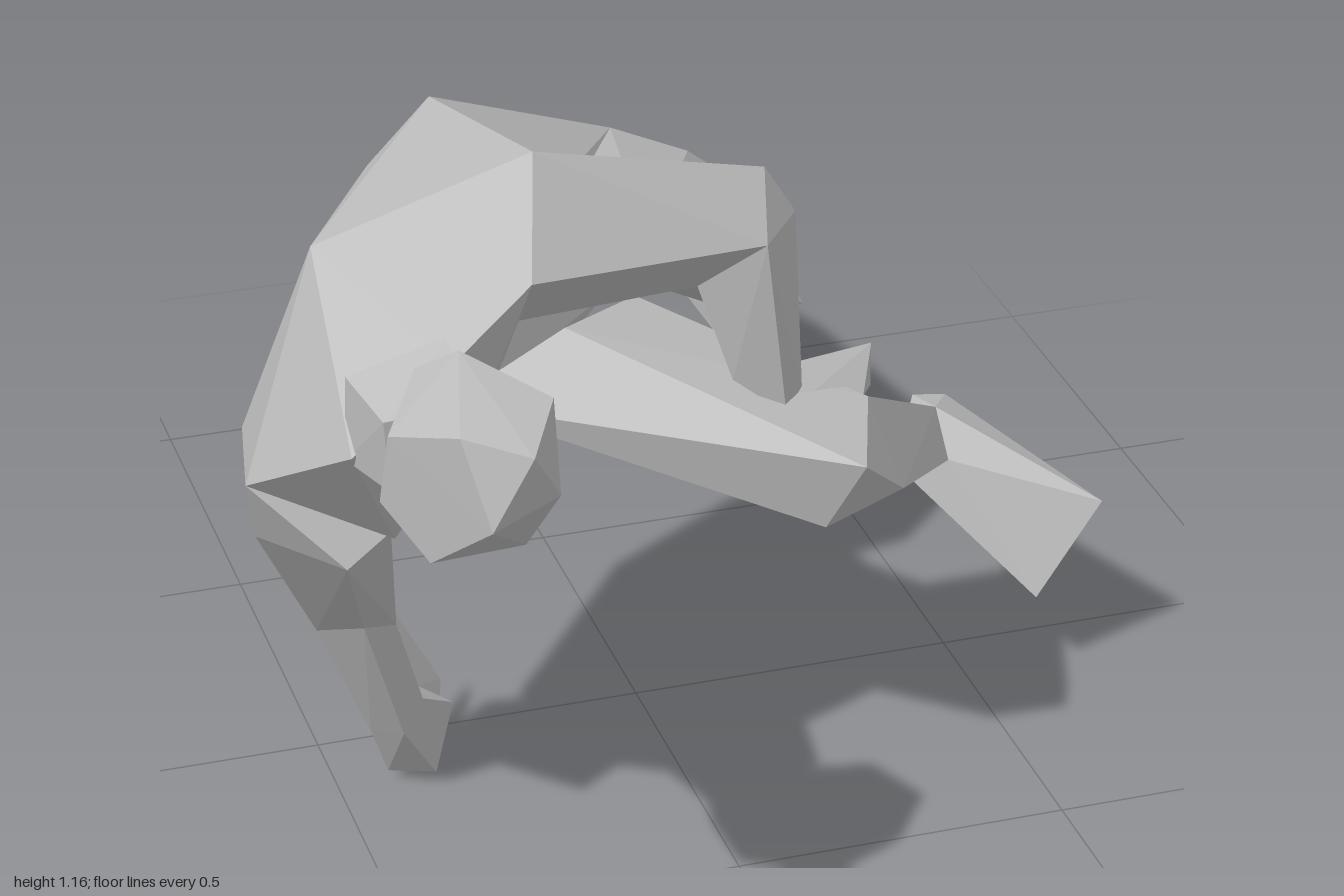
import * as THREE from 'three';
import { ConvexGeometry } from 'three/addons/geometries/ConvexGeometry.js';

// Faceted climbing figure: each body segment is a hull spanned between shared joint rings.
export function createModel() {
  const body = new THREE.Group();
  body.name = 'climbingFigure';
  const grey = new THREE.MeshStandardMaterial({ color: 0xc0c0c0, flatShading: true });
  grey.name = 'plain grey';

  const segment = (name, ...rings) => {
    const points = rings.flat().map((p) => new THREE.Vector3(...p));
    const mesh = new THREE.Mesh(new ConvexGeometry(points), grey);
    mesh.name = name;
    body.add(mesh);
  };

  // Torso rings
  const shoulders = [
    [-0.285, 1.16, 0.45], [-0.6, 1.08, 0.48], [-0.7, 0.735, 0.48], [-0.66, 0.72, 0.29],
    [-0.59, 0.84, 0.635], [-0.45, 0.95, 0.625], [-0.325, 1.03, 0.58], [-0.42, 0.81, 0.58],
    [-0.5, 0.63, 0.5], [-0.35, 0.9, 0.53],
  ];
  const waist = [
    [-0.31, 1.05, 0.01], [-0.4, 0.95, 0], [-0.47, 0.81, 0.01],
    [-0.2, 0.9, 0.13], [-0.33, 0.65, 0.22],
  ];
  const pelvis = [
    [-0.22, 0.595, -0.05], [-0.2, 0.77, -0.16], [-0.05, 0.79, -0.21], [0.01, 0.88, -0.16],
    [-0.1, 0.89, -0.07], [-0.06, 0.72, 0.05], [-0.24, 0.6, 0.14],
  ];
  segment('chest', shoulders, waist);
  segment('pelvis', waist, pelvis);

  // Neck and head
  segment('neck', [
    [-0.59, 0.95, 0.61], [-0.45, 0.98, 0.6], [-0.45, 0.81, 0.57], [-0.59, 0.82, 0.6],
    [-0.57, 0.94, 0.73], [-0.45, 0.95, 0.73], [-0.45, 0.83, 0.72], [-0.56, 0.83, 0.72],
  ]);
  segment('head', [
    [-0.5, 1.095, 0.85], [-0.39, 1.035, 0.9], [-0.39, 0.91, 0.93], [-0.42, 0.81, 0.87],
    [-0.49, 0.737, 0.75], [-0.55, 0.81, 0.88], [-0.595, 0.865, 0.8], [-0.59, 0.975, 0.83],
    [-0.54, 1.04, 0.78], [-0.41, 1.0, 0.78], [-0.53, 1.03, 0.96], [-0.44, 1.0, 0.985],
    [-0.5, 0.91, 1.0], [-0.43, 0.84, 0.71], [-0.55, 0.82, 0.71],
  ]);

  // Left arm, bent with the hand on the knee
  const leftShoulder = [
    [-0.285, 1.16, 0.45], [-0.325, 1.03, 0.58], [-0.26, 1.03, 0.32], [-0.32, 0.92, 0.47],
  ];
  const leftElbow = [
    [0.09, 1.02, 0.31], [0.055, 0.96, 0.43], [0.14, 0.94, 0.3], [-0.02, 0.87, 0.35],
  ];
  const leftWrist = [[0.14, 0.68, 0.34], [0.1, 0.67, 0.39], [0.03, 0.72, 0.36], [0.09, 0.7, 0.31]];
  segment('leftUpperArm', leftShoulder, leftElbow);
  segment('leftForearm', leftElbow, leftWrist);
  segment('leftHand', leftWrist, [
    [0.28, 0.68, 0.24], [0.2, 0.67, 0.24], [0.28, 0.61, 0.24], [0.2, 0.6, 0.26], [0.24, 0.64, 0.32],
  ]);

  // Right arm, hanging down
  const rightShoulder = [
    [-0.7, 0.735, 0.48], [-0.676, 0.62, 0.42], [-0.575, 0.61, 0.53],
    [-0.5, 0.63, 0.48], [-0.54, 0.66, 0.3], [-0.65, 0.7, 0.3],
  ];
  const rightElbow = [[-0.55, 0.34, 0.23], [-0.5, 0.38, 0.31], [-0.435, 0.335, 0.24], [-0.5, 0.4, 0.15]];
  const rightWrist = [[-0.46, 0.12, 0.17], [-0.42, 0.13, 0.21], [-0.38, 0.16, 0.17], [-0.42, 0.17, 0.1]];
  segment('rightUpperArm', rightShoulder, rightElbow);
  segment('rightForearm', rightElbow, rightWrist);
  segment('rightPalm', rightWrist, [
    [-0.425, 0.02, 0.13], [-0.35, 0, 0.125], [-0.305, 0.075, 0.06], [-0.39, 0.14, 0.07],
  ]);
  segment('rightFingers', [
    [-0.425, 0.02, 0.13], [-0.35, 0, 0.125], [-0.35, 0.015, 0.06], [-0.305, 0.075, -0.01],
    [-0.38, 0.215, 0], [-0.4, 0.14, 0.11],
  ]);

  // Left leg, stretched out behind
  const leftHip = [
    [-0.1, 0.89, -0.07], [0.01, 0.88, -0.16], [-0.05, 0.79, -0.21], [-0.2, 0.77, -0.15],
    [-0.07, 0.72, -0.07], [0, 0.81, 0.07], [-0.2, 0.85, 0.12],
  ];
  const leftKnee = [
    [0.34, 0.6, -0.325], [0.33, 0.52, -0.2], [0.21, 0.49, -0.3], [0.21, 0.58, -0.33],
  ];
  const leftAnkle = [[0.305, 0.41, -0.86], [0.385, 0.41, -0.875], [0.34, 0.35, -0.85]];
  segment('leftThigh', leftHip, leftKnee, [[0.27, 0.69, -0.26], [0.14, 0.81, -0.19]]);
  segment('leftShin', leftKnee, leftAnkle, [[0.21, 0.59, -0.5]]);
  segment('leftFoot', leftAnkle, [
    [0.27, 0.335, -0.97], [0.36, 0.37, -1], [0.54, 0.2, -0.83], [0.39, 0.163, -0.745],
  ]);

  // Right leg, drawn forward with the knee bent
  const rightHip = [
    [-0.25, 0.59, 0.13], [-0.18, 0.775, 0.24], [-0.03, 0.73, 0.09], [-0.34, 0.66, 0.2], [-0.1, 0.62, 0.03],
  ];
  const rightKnee = [
    [0.165, 0.655, 0.545], [0.13, 0.53, 0.48], [0.26, 0.55, 0.44], [0.24, 0.65, 0.34], [0.16, 0.53, 0.36],
  ];
  const rightAnkle = [[0.475, 0.42, 0.0], [0.475, 0.36, 0.06], [0.47, 0.37, -0.08], [0.4, 0.35, 0.03]];
  segment('rightThigh', rightHip, rightKnee);
  segment('rightShin', rightKnee, rightAnkle);
  segment('rightFoot', rightAnkle, [
    [0.475, 0.39, -0.1], [0.53, 0.38, -0.105], [0.5, 0.32, -0.1], [0.695, 0.295, 0.14], [0.59, 0.15, 0.15],
  ]);

  return body;
}
